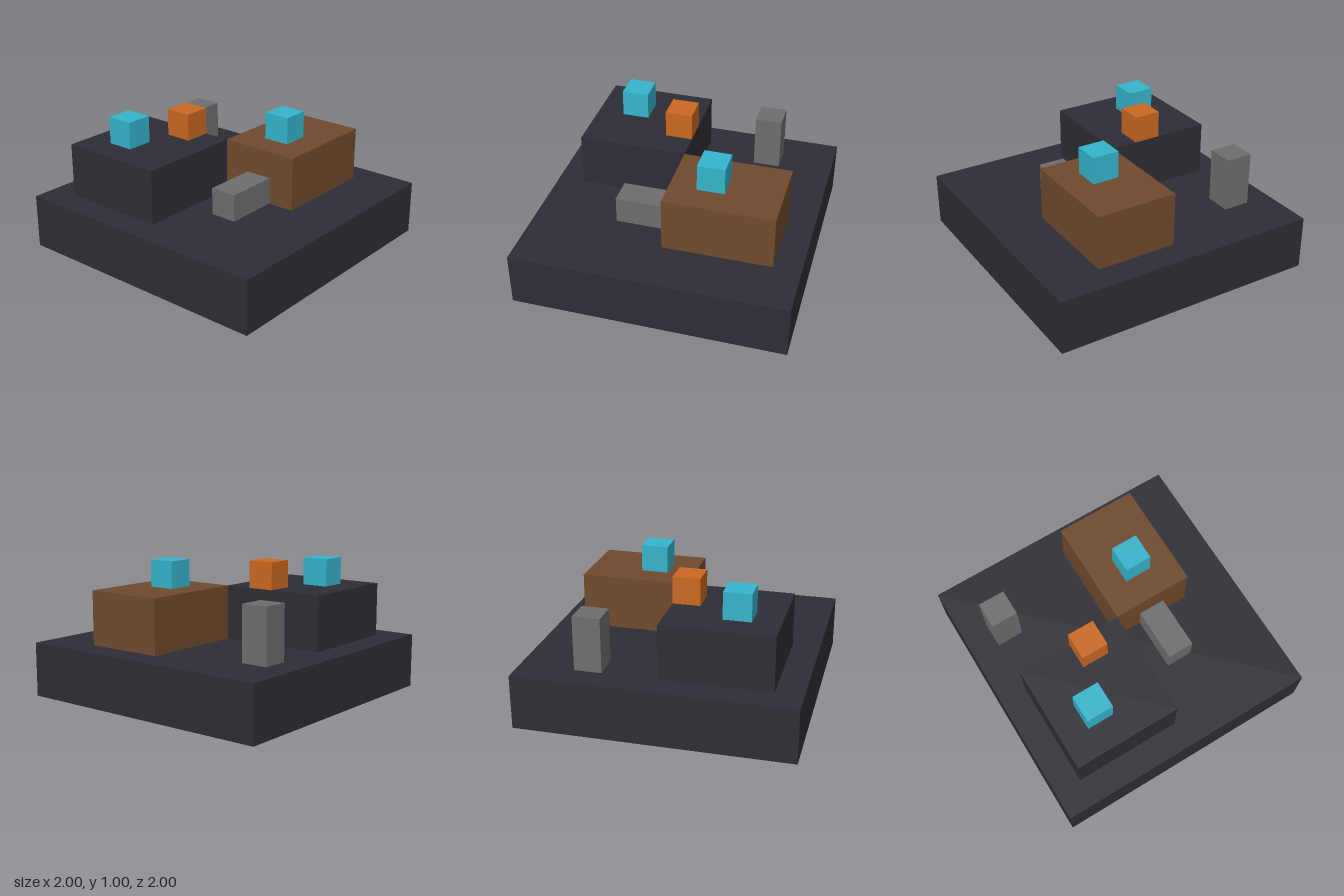
import * as THREE from 'three';

function material(name, color) {
  const m = new THREE.MeshStandardMaterial({ color });
  m.name = name;
  return m;
}

export function createModel() {
  const group = new THREE.Group();
  group.name = 'blockDiorama';

  const slate = material('slate', 0x2d2d36);
  const brown = material('brown', 0x704a2d);
  const grey = material('grey', 0x6e6e6e);
  const cyan = material('cyan', 0x35b4cc);
  const orange = material('orange', 0xca6822);

  // Box given by its lowest corner and its size
  function block(name, mat, [x, y, z], [w, h, d]) {
    const mesh = new THREE.Mesh(new THREE.BoxGeometry(w, h, d), mat);
    mesh.position.set(x + w / 2, y + h / 2, z + d / 2);
    mesh.name = name;
    group.add(mesh);
  }

  // Base slab
  block('base', slate, [-1, 0, -1], [2, 0.4, 2]);

  // Raised platforms
  block('darkPlatform', slate, [-0.8, 0.4, -0.8], [0.8, 0.4, 0.8]);
  block('brownPlatform', brown, [0, 0.4, 0], [0.8, 0.4, 0.6]);

  // Grey step and post
  block('step', grey, [-0.4, 0.4, 0.2], [0.4, 0.2, 0.2]);
  block('post', grey, [0.4, 0.4, -0.8], [0.2, 0.4, 0.2]);

  // Small cubes standing on the platforms
  const cube = [0.2, 0.2, 0.2];
  block('backCyanCube', cyan, [-0.6, 0.8, -0.6], cube);
  block('frontCyanCube', cyan, [0.2, 0.8, 0.2], cube);
  block('orangeCube', orange, [-0.2, 0.8, -0.4], cube);

  return group;
}
